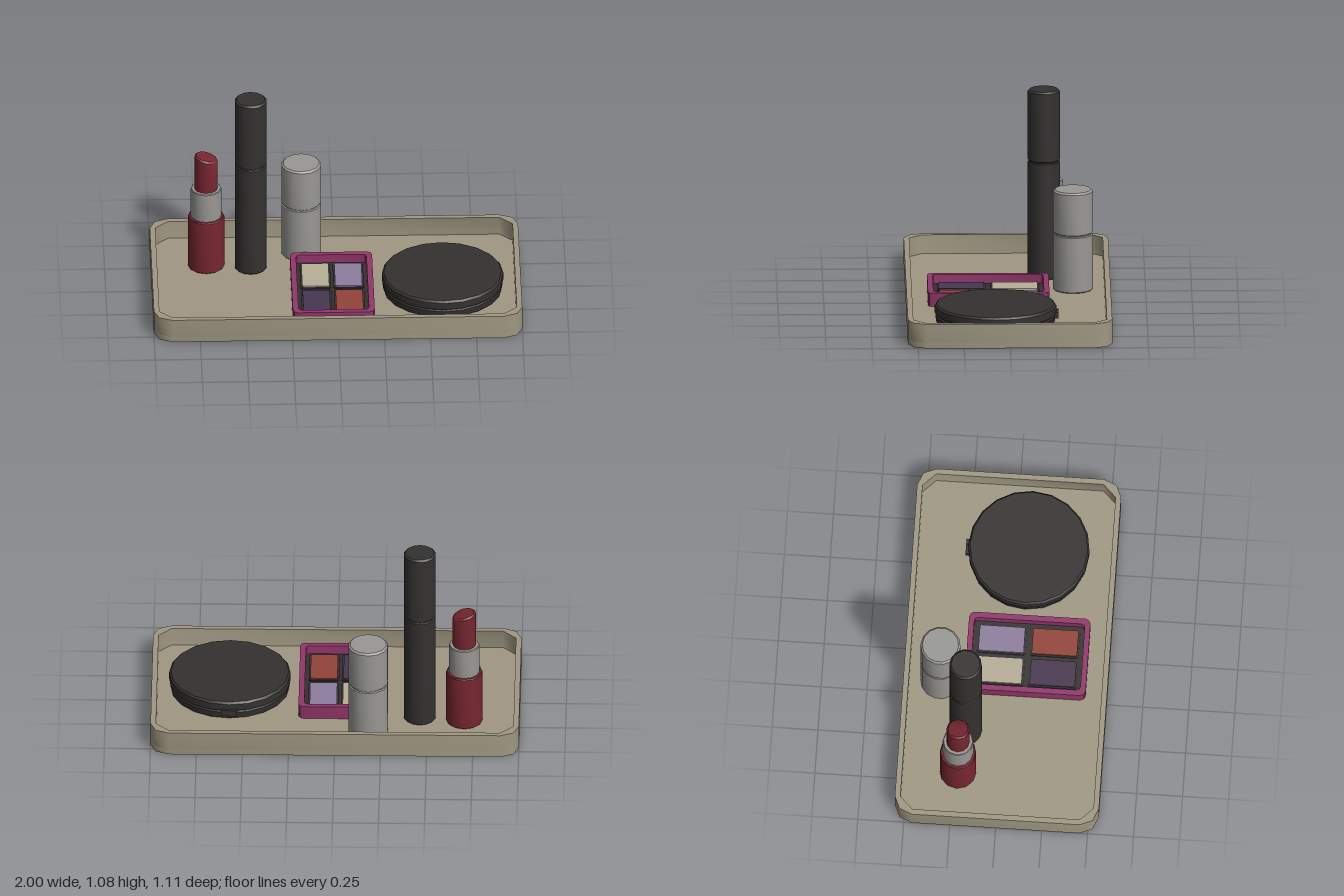
import * as THREE from 'three';
import { toCreasedNormals } from 'three/addons/utils/BufferGeometryUtils.js';

const FLOOR = 0.03;
const COLORS = {
  tray: 0xa09883, dark: 0x343231, red: 0x782631, silver: 0x999894, pink: 0x92366a,
  cream: 0xb8af98, lavender: 0x8f7e9f, plum: 0x483651, rust: 0x934338,
};
const materials = {};
for (const key in COLORS) materials[key] = new THREE.MeshStandardMaterial({ color: COLORS[key] });

function addMesh(parent, name, geometry, color, crease = 0.7) {
  const mesh = new THREE.Mesh(toCreasedNormals(geometry, crease), materials[color]);
  mesh.name = name;
  parent.add(mesh);
  return mesh;
}

function addGroup(parent, name, x, y, z) {
  const group = new THREE.Group();
  group.name = name;
  group.position.set(x, y, z);
  parent.add(group);
  return group;
}

// Rectangle outline with corners rounded in a few steps
function outline(w, d, r, steps) {
  const points = [];
  for (let c = 0; c < 4; c++) {
    const sx = c === 0 || c === 3 ? 1 : -1, sy = c < 2 ? 1 : -1;
    for (let i = 0; i <= steps; i++) {
      const a = (c + i / steps) * Math.PI / 2;
      points.push(new THREE.Vector2(sx * (w / 2 - r) + r * Math.cos(a), sy * (d / 2 - r) + r * Math.sin(a)));
    }
  }
  return points;
}

// Upright slab, or a ring when a hole outline is given
function slab(points, y0, y1, hole) {
  const shape = new THREE.Shape(points);
  if (hole) shape.holes.push(new THREE.Path(hole));
  const geometry = new THREE.ExtrudeGeometry(shape, { depth: y1 - y0, bevelEnabled: false });
  return geometry.rotateX(-Math.PI / 2).translate(0, y0, 0);
}

// Turned solid from [radius, height] pairs, bottom to top
function turned(profile, sides) {
  return new THREE.LatheGeometry(profile.map(([r, y]) => new THREE.Vector2(r, y)), sides);
}

// Turned container with a grooved joint and a bevelled top
function capped(r, top, joint, sides) {
  return turned([
    [0, 0], [r - 0.006, 0], [r, 0.006], [r, joint - 0.007], [r - 0.006, joint - 0.003],
    [r - 0.006, joint + 0.003], [r, joint + 0.007], [r, top - 0.01], [r - 0.01, top], [0, top],
  ], sides);
}

function buildTray(model) {
  const tray = addGroup(model, 'tray', 0, 0, 0);
  const outer = outline(2, 1.11, 0.1, 2);
  addMesh(tray, 'trayFloor', slab(outer, 0, FLOOR), 'tray', 0.8);
  addMesh(tray, 'trayRim', slab(outer, FLOOR, 0.135, outline(1.94, 1.05, 0.07, 1)), 'tray', 0.8);
}

function buildLipstick(model) {
  const lipstick = addGroup(model, 'lipstick', -0.7, FLOOR, -0.225);
  addMesh(lipstick, 'lipstickBase', turned([[0, 0], [0.094, 0], [0.099, 0.005], [0.099, 0.31], [0.094, 0.315], [0, 0.315]], 12), 'red');
  addMesh(lipstick, 'lipstickCollar', turned([[0, 0.3], [0.083, 0.3], [0.083, 0.481], [0.079, 0.485], [0, 0.485]], 12), 'silver');
  // Bullet with its top cut at a slant
  const bullet = turned([[0, 0.47], [0.063, 0.47], [0.063, 0.67], [0.054, 0.679], [0, 0.679]], 12);
  const p = bullet.attributes.position;
  for (let i = 0; i < p.count; i++) {
    if (p.getY(i) > 0.6) p.setY(i, p.getY(i) - 0.24 * p.getX(i));
  }
  addMesh(lipstick, 'lipstickBullet', bullet, 'red');
}

function buildPalette(model) {
  const palette = addGroup(model, 'eyeshadowPalette', -0.022, FLOOR, 0.107);
  const outer = outline(0.445, 0.66, 0.03, 2), inner = outline(0.382, 0.6, 0.02, 2);
  addMesh(palette, 'paletteBase', slab(outer, 0, 0.015), 'pink');
  addMesh(palette, 'paletteRim', slab(outer, 0.015, 0.075, inner), 'pink');
  addMesh(palette, 'paletteInsert', slab(inner, 0.015, 0.025), 'dark');
  // Four colour pans with dark surrounds
  ['cream', 'lavender', 'plum', 'rust'].forEach((color, i) => {
    const x = (i % 2 ? 1 : -1) * 0.0895, z = (i < 2 ? -1 : 1) * 0.145;
    const frame = outline(0.165, 0.265, 0.01, 1), pan = outline(0.147, 0.247, 0.006, 1);
    addMesh(palette, 'panFrame', slab(frame, 0.025, 0.032, pan), 'dark').position.set(x, 0, z);
    addMesh(palette, color + 'Pan', slab(pan, 0.02, 0.04), color).position.set(x, 0, z);
  });
}

function buildCompact(model) {
  const compact = addGroup(model, 'powderCompact', 0.577, FLOOR, 0.075);
  addMesh(compact, 'compactBase', turned([[0, 0], [0.295, 0], [0.322, 0.014], [0.327, 0.05], [0.318, 0.056], [0, 0.056]], 20), 'dark', 0.5);
  addMesh(compact, 'compactLid', turned([[0, 0.056], [0.318, 0.056], [0.33, 0.064], [0.33, 0.103], [0.32, 0.114], [0, 0.114]], 20), 'dark', 0.5);
  const hinge = addMesh(compact, 'compactHinge', new THREE.BoxGeometry(0.085, 0.035, 0.04), 'dark');
  hinge.position.set(0, 0.055, -0.322);
}

export function createModel() {
  const model = new THREE.Group();
  model.name = 'cosmeticsTray';
  buildTray(model);
  buildLipstick(model);
  buildPalette(model);
  buildCompact(model);
  const mascara = addGroup(model, 'mascara', -0.458, FLOOR, -0.2);
  addMesh(mascara, 'mascaraTube', capped(0.088, 1.05, 0.652, 14), 'dark');
  const jar = addGroup(model, 'silverBottle', -0.18, FLOOR, -0.355);
  addMesh(jar, 'bottleBody', capped(0.109, 0.56, 0.317, 14), 'silver');
  return model;
}
